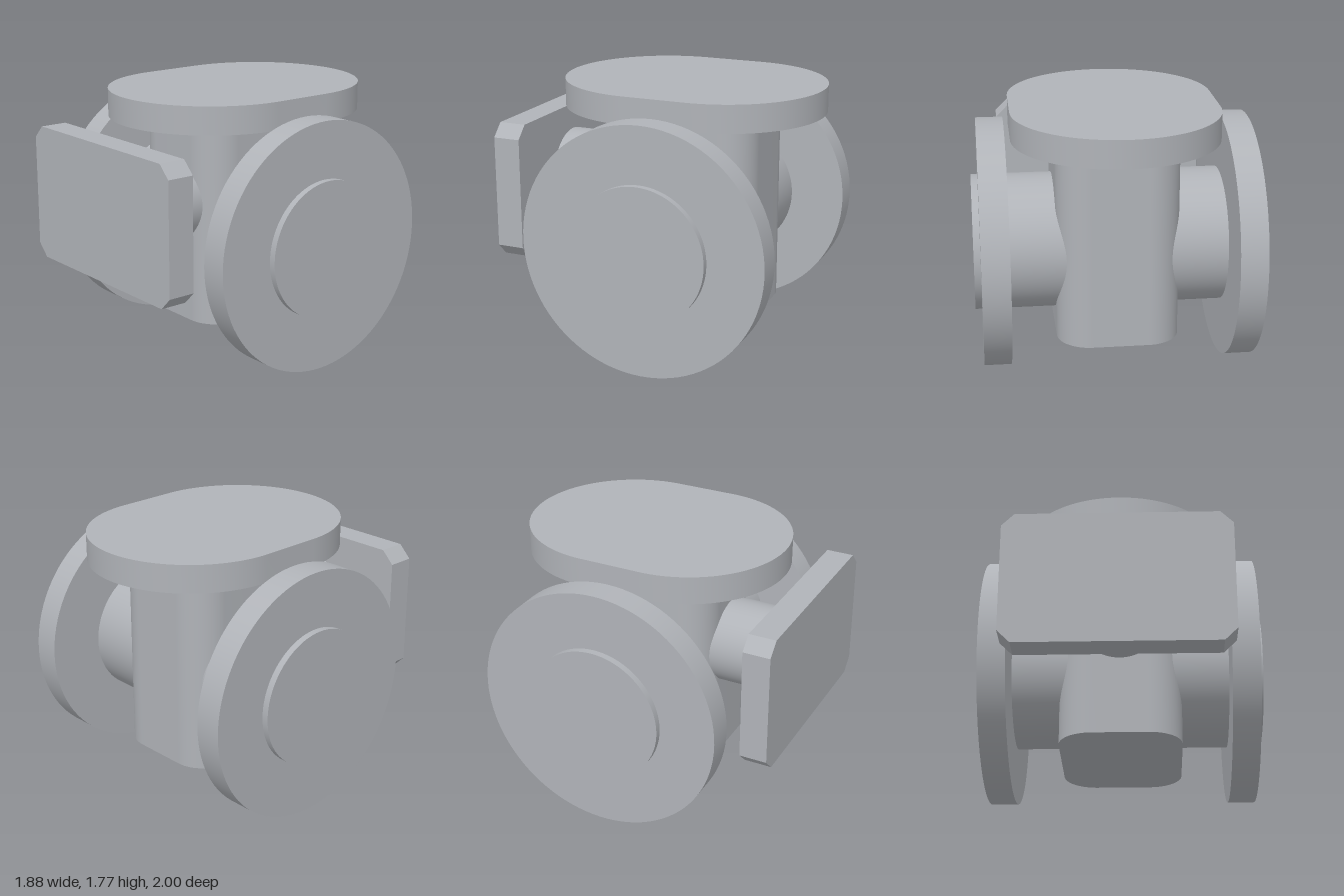
import * as THREE from 'three';
import { toCreasedNormals } from 'three/addons/utils/BufferGeometryUtils.js';

const CZ = -0.113; // depth of the body's axis
const PIPE_Y = 0.83; // height of the side pipe

// Rectangle outline centred on the origin, with rounded corners
function roundedRect(w, h, r) {
  const x = w / 2 - r, y = h / 2 - r;
  const s = new THREE.Shape();
  s.absarc(x, y, r, 0, Math.PI / 2);
  s.absarc(-x, y, r, Math.PI / 2, Math.PI);
  s.absarc(-x, -y, r, Math.PI, Math.PI * 1.5);
  s.absarc(x, -y, r, Math.PI * 1.5, Math.PI * 2);
  s.closePath();
  return s;
}

// Rectangle outline with cut corners
function chamferedRect(w, h, c) {
  const x = w / 2, y = h / 2;
  return new THREE.Shape([
    [x, y - c], [x - c, y], [-x + c, y], [-x, y - c],
    [-x, -y + c], [-x + c, -y], [x - c, -y], [x, -y + c],
  ].map(([a, b]) => new THREE.Vector2(a, b)));
}

function extrude(shape, depth) {
  const g = new THREE.ExtrudeGeometry(shape, { depth, bevelEnabled: false, curveSegments: 32 });
  return toCreasedNormals(g, 0.5);
}

export function createModel() {
  const model = new THREE.Group();
  model.name = 'valveBody';
  const metal = new THREE.MeshStandardMaterial({ color: 0xb0b3b8 });
  metal.name = 'grey metal';

  const add = (name, geometry, x, y, z) => {
    const mesh = new THREE.Mesh(geometry, metal);
    mesh.name = name;
    mesh.position.set(x, y, z);
    model.add(mesh);
  };

  // Upright block and the oblong cover on top
  add('body', extrude(roundedRect(0.81, 1.042, 0.22), 1.36).rotateX(-Math.PI / 2), 0, 0.25, CZ);
  add('topFlange', extrude(roundedRect(1.36, 1.77, 0.68), 0.183).rotateX(-Math.PI / 2), 0, 1.592, -0.115);

  // Side pipe running through the body, with a round flange near each end
  add('sidePipe', new THREE.CylinderGeometry(0.453, 0.453, 1.88, 80).rotateZ(Math.PI / 2), 0, PIPE_Y, CZ);
  for (const [name, side] of [['leftFlange', 1], ['rightFlange', -1]]) {
    add(name, new THREE.CylinderGeometry(0.83, 0.83, 0.18, 96).rotateZ(Math.PI / 2), side * 0.806, PIPE_Y, CZ);
  }

  // Front branch with its chamfered plate
  add('frontPipe', new THREE.CylinderGeometry(0.282, 0.282, 0.75, 64).rotateX(Math.PI / 2), 0, 1.058, 0.46);
  add('frontPlate', extrude(chamferedRect(1.478, 0.91, 0.084), 0.182), 0, 1.06, 0.818);

  return model;
}
